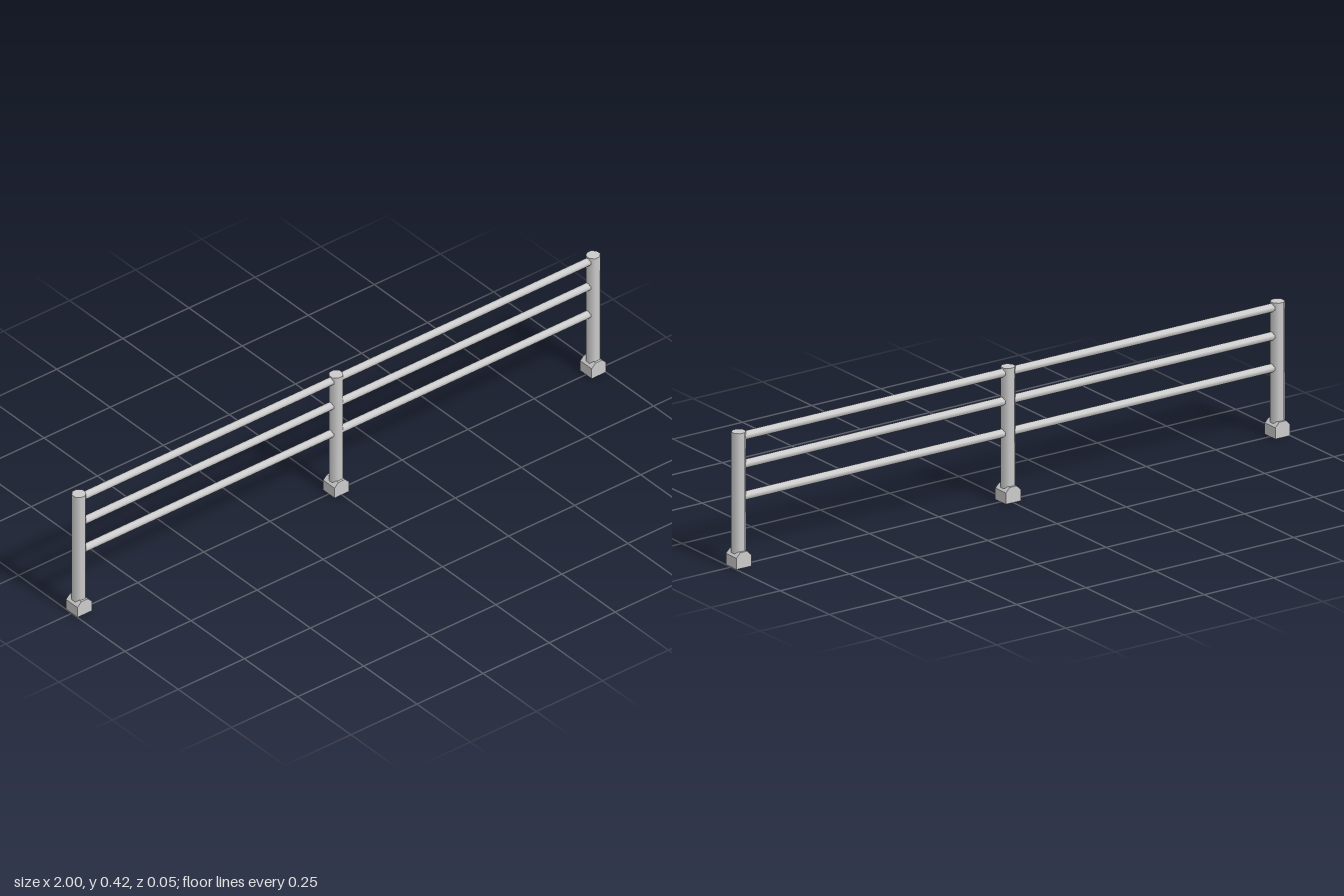
import * as THREE from 'three';

const HEIGHT = 0.42, POST_R = 0.0222, POST_X = 0.973, FOOT = 0.027;

// Gabled foot: prism along z with sloping shoulders, open underneath
function footGeometry() {
  const s = new THREE.Shape([
    [-FOOT, 0], [FOOT, 0], [FOOT, 0.0355], [0.0125, 0.05], [-0.0125, 0.05], [-FOOT, 0.0355],
  ].map(([x, y]) => new THREE.Vector2(x, y)));
  const g = new THREE.ExtrudeGeometry(s, { depth: 2 * FOOT, bevelEnabled: false });
  g.translate(0, 0, -FOOT);
  const p = g.attributes.position, kept = [];
  for (let i = 0; i < p.count; i += 3) {
    const onGround = [0, 1, 2].every((k) => p.getY(i + k) < 1e-5);
    if (onGround) continue;
    for (let k = 0; k < 3; k++) kept.push(p.getX(i + k), p.getY(i + k), p.getZ(i + k));
  }
  const open = new THREE.BufferGeometry();
  open.setAttribute('position', new THREE.Float32BufferAttribute(kept, 3));
  open.computeVertexNormals();
  return open;
}

export function createModel() {
  const group = new THREE.Group();
  const metal = new THREE.MeshStandardMaterial({ color: 0xcccccc });
  const shell = new THREE.MeshStandardMaterial({ color: 0xcccccc, side: THREE.DoubleSide });
  const add = (name, geometry, material, x, y) => {
    const mesh = new THREE.Mesh(geometry, material);
    mesh.name = name;
    mesh.position.set(x, y, 0);
    group.add(mesh);
  };

  // Eight-sided posts, flats facing the axes, each on a foot
  const postBottom = 0.035;
  const post = new THREE.CylinderGeometry(POST_R, POST_R, HEIGHT - postBottom, 8);
  post.rotateY(Math.PI / 8);
  const foot = footGeometry();
  for (const x of [-POST_X, 0, POST_X]) {
    add('post', post, metal, x, (HEIGHT + postBottom) / 2);
    add('foot', foot, shell, x, 0);
  }

  // Three rails in each bay
  const rail = new THREE.CylinderGeometry(0.013, 0.013, POST_X - 0.02, 8);
  rail.rotateY(Math.PI / 8).rotateZ(Math.PI / 2);
  for (const side of [-1, 1])
    for (const y of [0.214, 0.314, 0.403]) add('rail', rail, metal, side * POST_X / 2, y);

  return group;
}
